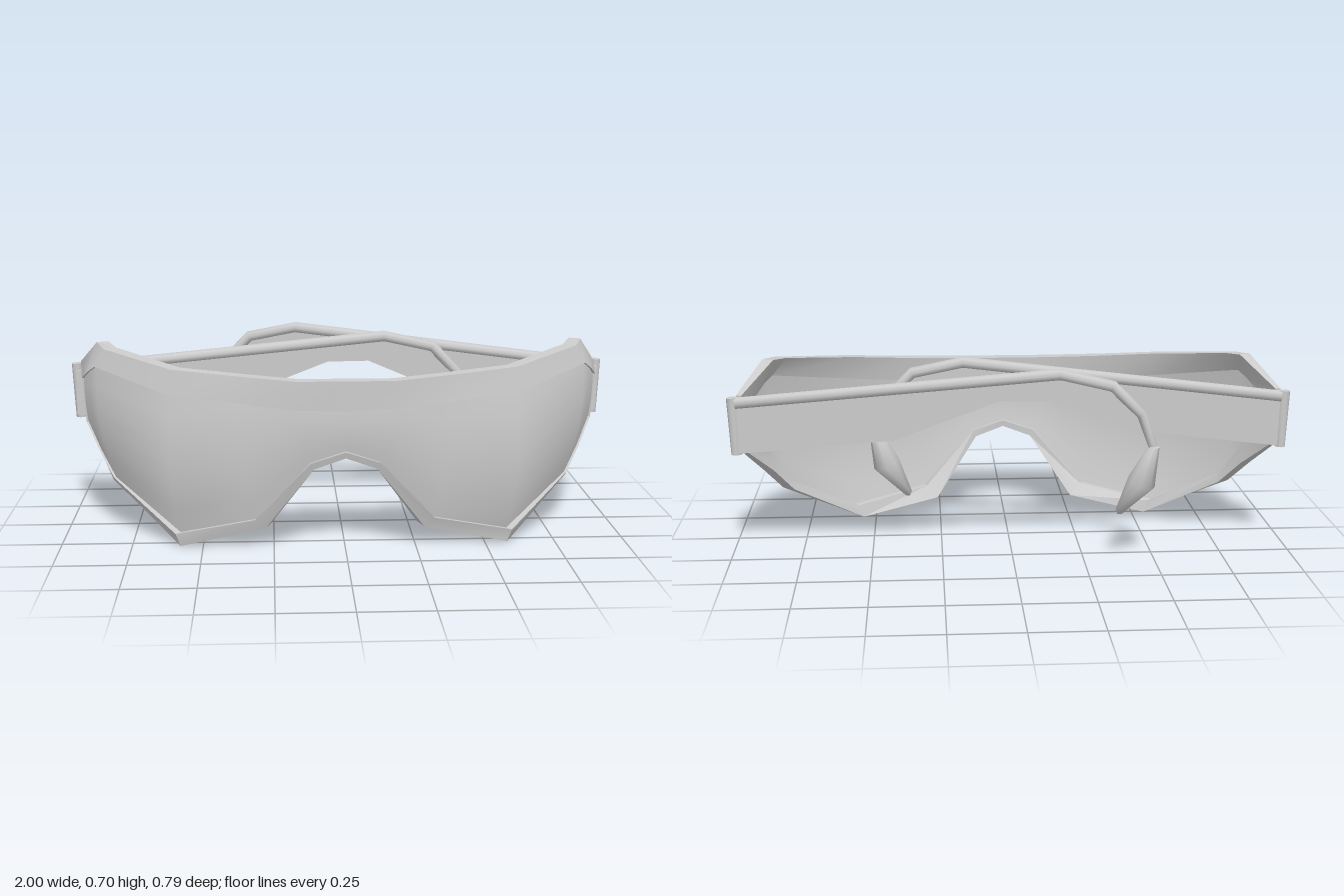
import * as THREE from 'three';
import { toCreasedNormals } from 'three/addons/utils/BufferGeometryUtils.js';

const V = (x, y, z) => new THREE.Vector3(x, y, z);
const grey = new THREE.MeshStandardMaterial({ color: 0xcccccc, side: THREE.DoubleSide });

function part(name, geometry, crease = 0.6) {
  const mesh = new THREE.Mesh(toCreasedNormals(geometry, crease), grey);
  mesh.name = name;
  return mesh;
}

// Joins equal-length rows of points into one surface
function loft(rows, loopRows, loopPoints) {
  const m = rows[0].length, n = rows.length, index = [];
  for (let i = 0; i < (loopRows ? n : n - 1); i++) {
    for (let j = 0; j < (loopPoints ? m : m - 1); j++) {
      const a = i * m + j, b = ((i + 1) % n) * m + j;
      const c = ((i + 1) % n) * m + (j + 1) % m, d = i * m + (j + 1) % m;
      index.push(a, b, c, a, c, d);
    }
  }
  const g = new THREE.BufferGeometry().setFromPoints(rows.flat());
  g.setIndex(index);
  return g;
}

// Tube along a path of [x, y, z, radius]
function rod(path, sides = 8) {
  const p = path.map(([x, y, z]) => V(x, y, z));
  const rows = p.map((c, i) => {
    const t = p[Math.min(i + 1, p.length - 1)].clone().sub(p[Math.max(i - 1, 0)]).normalize();
    const u = V(0, 0, 1).cross(t).normalize(), w = t.clone().cross(u);
    return Array.from({ length: sides }, (_, k) => {
      const a = (k / sides) * Math.PI * 2, r = path[i][3];
      return c.clone().addScaledVector(u, Math.cos(a) * r).addScaledVector(w, Math.sin(a) * r);
    });
  });
  return loft(rows, false, true);
}

// Half outline, top centre round to nose: lens edge, rim edge, front step, rim depth
const stations = [
  [[0, 0.5, 0.372], [0, 0.605, 0.39], 0.018, 0.052],
  [[0.17, 0.505, 0.372], [0.17, 0.605, 0.39], 0.018, 0.052],
  [[0.38, 0.525, 0.332], [0.38, 0.617, 0.34], 0.018, 0.052],
  [[0.6, 0.545, 0.285], [0.6, 0.632, 0.288], 0.018, 0.052],
  [[0.88, 0.605, 0.065], [0.85, 0.67, 0.075], 0.008, 0.052],
  [[0.91, 0.58, 0.03], [0.885, 0.68, -0.02], 0.008, 0.045],
  [[0.935, 0.55, -0.015], [0.965, 0.583, -0.18], 0.008, 0.02],
  [[0.925, 0.385, -0.025], [0.955, 0.38, -0.18], 0.008, 0.02],
  [[0.875, 0.29, 0.03], [0.895, 0.28, -0.06], 0.008, 0.045],
  [[0.82, 0.2, 0.08], [0.835, 0.182, 0.04], 0.01, 0.052],
  [[0.58, 0.045, 0.268], [0.58, 0, 0.29], 0.03, 0.058],
  [[0.31, 0.105, 0.32], [0.28, 0.07, 0.322], 0.018, 0.07],
  [[0.12, 0.315, 0.36], [0.11, 0.293, 0.37], 0.018, 0.035],
  [[0, 0.355, 0.363], [0, 0.332, 0.375], 0.018, 0.035],
].map(([lens, rim, step, depth]) => ({ lens: V(...lens), rim: V(...rim), step, depth }));

const outward = p => V(p.x * 0.8, 0, p.z + 0.4).normalize();
const flip = p => V(-p.x, p.y, p.z);

function buildRim() {
  const half = stations.map(({ lens, rim, step, depth }) => {
    const n = outward(rim);
    const at = (p, d) => p.clone().addScaledVector(n, d);
    return [lens, at(lens, step), rim, at(rim, -depth), at(lens, -0.025)];
  });
  const mirrored = half.slice(1, -1).reverse().map(row => row.map(flip));
  return part('rim', loft([...half, ...mirrored], true, true));
}

function buildLens() {
  const columns = [];
  for (let i = 0; i < 7; i++) {
    const top = stations[i].lens, bottom = stations[13 - i].lens;
    const bulge = [0.005, 0.008, 0.02, 0.035, 0.025, 0.012, 0.004][i];
    columns.push(Array.from({ length: 7 }, (_, k) => {
      const t = 1 - k / 6, p = top.clone().lerp(bottom, t);
      return p.addScaledVector(outward(p), bulge * 4 * t * (1 - t));
    }));
  }
  const left = columns.slice(1).reverse().map(c => c.map(flip));
  return part('lens', loft([...left, ...columns], false, false), 0.9);
}

// Folded temple arm, hinged at the local origin and running along -x
function buildArm() {
  const arm = new THREE.Group();
  arm.add(part('armRod', rod([
    [0, 0.556, 0, 0.001], [-0.003, 0.556, 0, 0.021], [-1.14, 0.678, 0, 0.021],
    [-1.32, 0.64, 0, 0.021], [-1.42, 0.54, 0.015, 0.018], [-1.465, 0.41, 0.034, 0.015],
  ]), 1.1));
  arm.add(part('earTip', rod([
    [-1.465, 0.43, 0.03, 0.001], [-1.466, 0.425, 0.031, 0.018], [-1.425, 0.29, 0.058, 0.05],
    [-1.347, 0.172, 0.077, 0.014], [-1.343, 0.163, 0.078, 0.001],
  ]), 1.1));
  // Flat web under the rod, carried round into the inside of the bend
  const outline = [[0, 0.56], [0, 0.375], [-0.56, 0.435], [-0.93, 0.583], [-1.2, 0.59],
    [-1.3, 0.6], [-1.34, 0.61], [-1.32, 0.64], [-1.14, 0.678]];
  const panel = new THREE.ExtrudeGeometry(
    new THREE.Shape(outline.map(([x, y]) => new THREE.Vector2(x, y))), { depth: 0.016, bevelEnabled: false });
  arm.add(part('armPanel', panel.translate(0, 0, -0.008)));
  arm.position.set(0.97, 0, -0.19);
  return arm;
}

function buildHinge() {
  const hinge = new THREE.Group();
  const barrel = new THREE.CylinderGeometry(0.021, 0.019, 0.205, 8).rotateZ(-0.04);
  hinge.add(part('hingeBarrel', barrel.translate(0.975, 0.473, -0.184), 0.9));
  hinge.add(part('hingeLug', new THREE.BoxGeometry(0.032, 0.168, 0.03).translate(0.966, 0.468, -0.17)));
  return hinge;
}

export function createModel() {
  const model = new THREE.Group();
  model.name = 'wraparoundGlasses';
  model.add(buildRim(), buildLens());

  // Arms cross behind the lens, each folded to its own angle
  for (const [name, side, angle] of [['left', 1, -0.143], ['right', -1, 0.064]]) {
    const temple = new THREE.Group();
    temple.name = name + 'Temple';
    const arm = buildArm();
    arm.name = name + 'Arm';
    arm.rotation.y = angle;
    const hinge = buildHinge();
    hinge.name = name + 'Hinge';
    temple.add(arm, hinge);
    temple.scale.x = side;
    model.add(temple);
  }
  return model;
}
